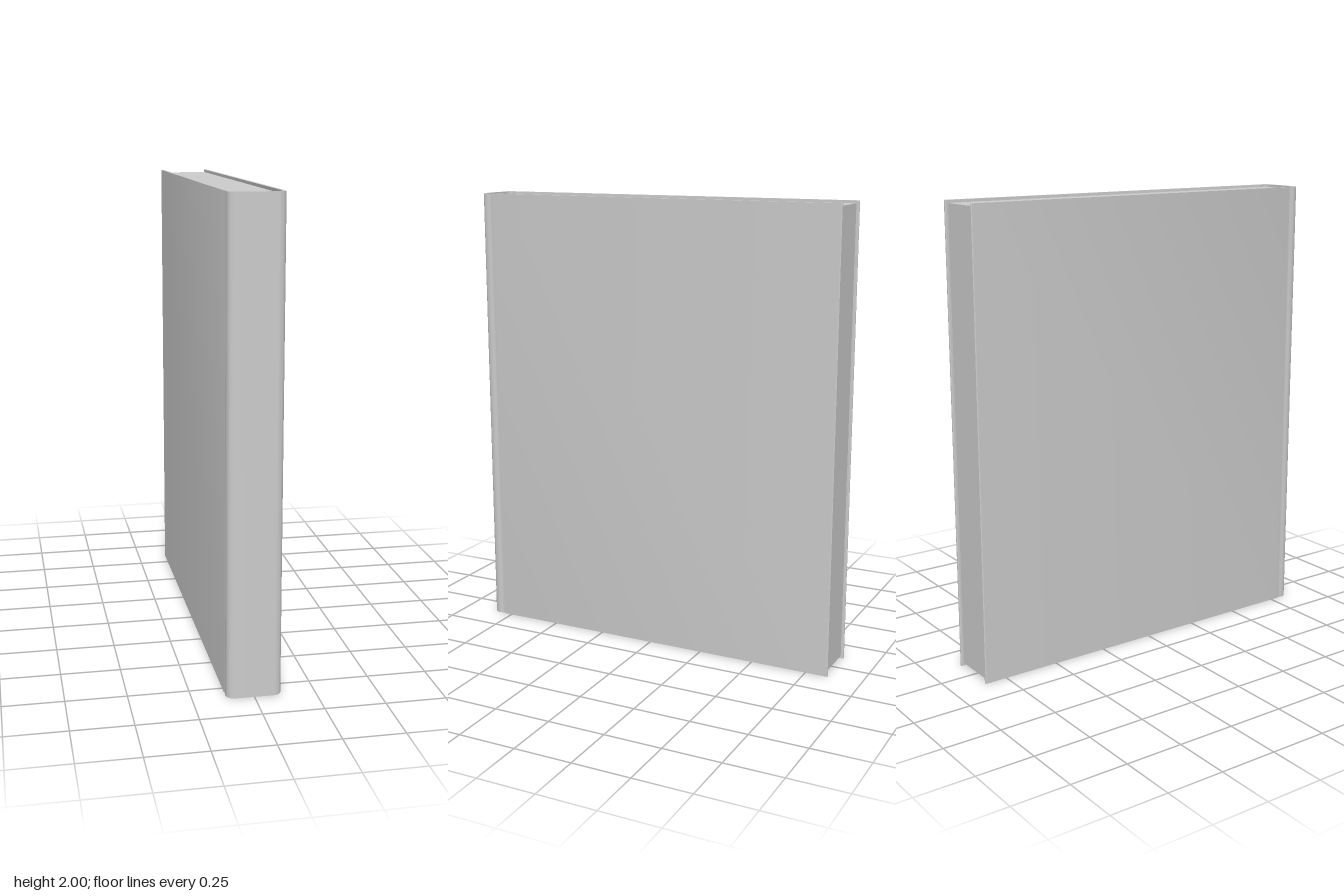
import * as THREE from 'three';
import { toCreasedNormals } from 'three/addons/utils/BufferGeometryUtils.js';

const HEIGHT = 2, DEPTH = 0.85, HALF = 0.113, THICK = 0.012;

// Wall of one cover board as a line of [x, z] points: fore edge, hinge groove, rounded spine corner.
function boardLine(offset) {
  const x = HALF - offset, front = DEPTH - offset, r = 0.034 - offset;
  const points = [[x, -DEPTH + 0.004], [x, 0.785], [x - 0.004, 0.795], [x - 0.004, 0.803], [x, 0.813]];
  for (let i = 0; i <= 8; i++) {
    const a = (i / 8) * Math.PI / 2;
    points.push([x - r + r * Math.cos(a), front - r + r * Math.sin(a)]);
  }
  return points;
}

const mirror = (line) => line.map(([x, z]) => [-x, z]).reverse();

// Extrudes an outline in x and z upward.
function extrudeUp(outline, height) {
  const shape = new THREE.Shape(outline.map(([x, z]) => new THREE.Vector2(x, -z)));
  const geometry = new THREE.ExtrudeGeometry(shape, { depth: height, bevelEnabled: false });
  geometry.rotateX(-Math.PI / 2);
  return toCreasedNormals(geometry, 0.6);
}

export function createModel() {
  const book = new THREE.Group();
  book.name = 'book';
  const material = new THREE.MeshStandardMaterial({ color: 0xcccccc });

  // Cover: two boards joined by the spine, with softened fore edges
  const outer = boardLine(0), inner = boardLine(THICK);
  const tip = [[HALF - 0.003, -DEPTH], [HALF - THICK + 0.003, -DEPTH]];
  const outline = [...outer, ...mirror(outer), ...mirror(tip).reverse(),
    ...mirror(inner).reverse(), ...inner.slice().reverse(), ...tip.slice().reverse()];
  outline.length = 0;
  outline.push(...outer, ...mirror(outer));
  outline.push(...tip.map(([x, z]) => [-x, z]));
  outline.push(...inner.map(([x, z]) => [-x, z]));
  outline.push(...inner.slice().reverse());
  outline.push(...tip.slice().reverse());
  const cover = new THREE.Mesh(extrudeUp(outline, HEIGHT), material);
  cover.name = 'cover';
  book.add(cover);

  // Page block, set in slightly from the cover on the three open sides
  const inset = 0.012, back = -DEPTH + inset, front = DEPTH - THICK;
  const block = new THREE.BoxGeometry(2 * (HALF - THICK - 0.001), HEIGHT - 2 * inset, front - back);
  const pages = new THREE.Mesh(block, material);
  pages.name = 'pages';
  pages.position.set(0, HEIGHT / 2, (front + back) / 2);
  book.add(pages);

  return book;
}
